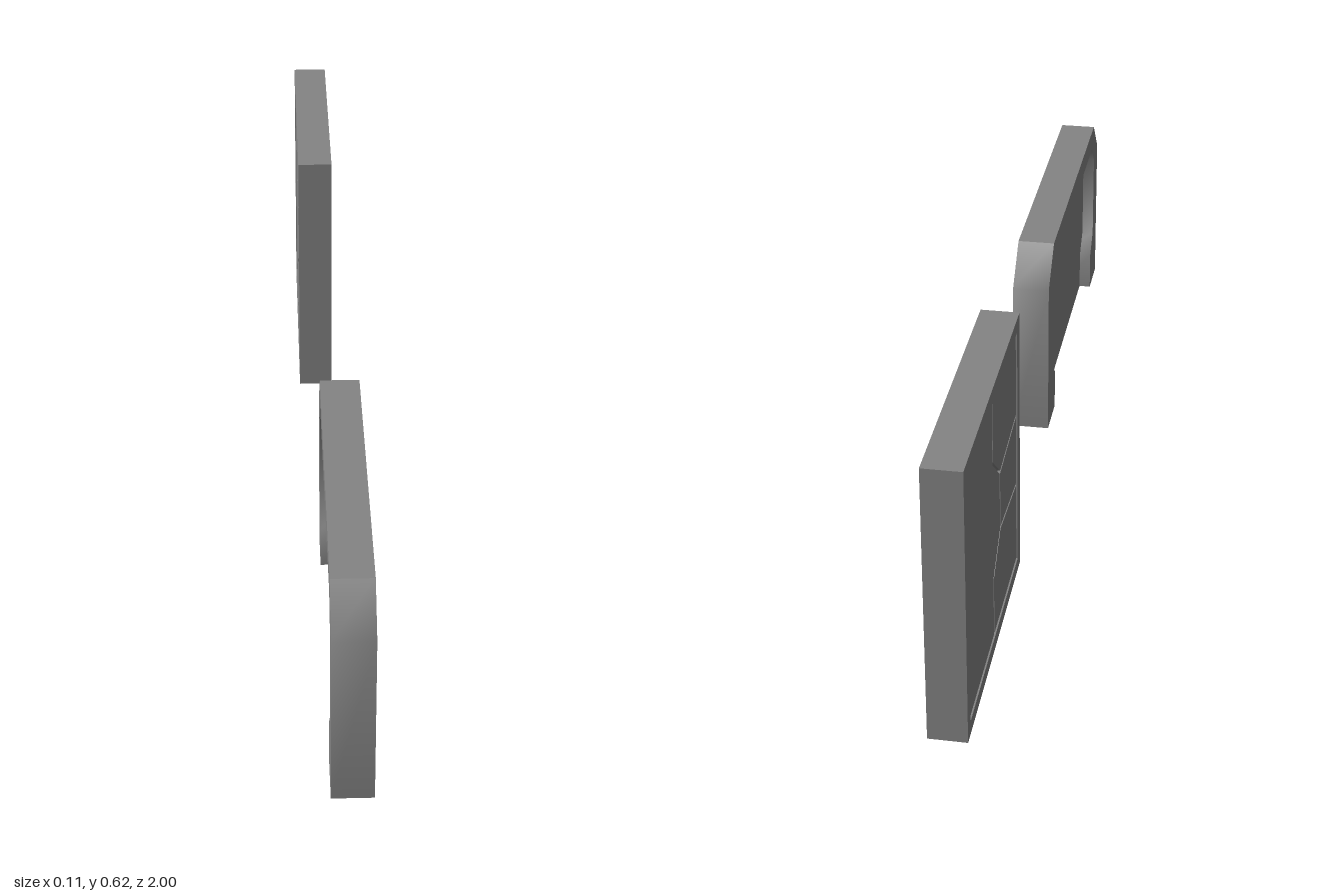
import * as THREE from 'three';
import { toCreasedNormals } from 'three/addons/utils/BufferGeometryUtils.js';

const material = new THREE.MeshStandardMaterial({ color: 0x848484 });

// Outlines are lists of [z, y]; solids span x0 to x1. Bends under 45 degrees are smooth.
function slab(name, outline, x0, x1, hole) {
  const flip = (pts) => pts.map(([z, y]) => new THREE.Vector2(-z, y));
  const shape = new THREE.Shape(flip(outline));
  if (hole) shape.holes.push(new THREE.Path(flip(hole)));
  const geometry = new THREE.ExtrudeGeometry(shape, { depth: x1 - x0, bevelEnabled: false });
  geometry.rotateY(Math.PI / 2).translate(x0, 0, 0);
  const mesh = new THREE.Mesh(toCreasedNormals(geometry, Math.PI / 4), material);
  mesh.name = name;
  return mesh;
}

const rect = (z0, z1, y0, y1) => [[z1, y0], [z0, y0], [z0, y1], [z1, y1]];

// Complete a half outline by mirroring it about z = c.
const mirrored = (half, c) => [...half, ...half.map(([z, y]) => [2 * c - z, y]).reverse()];

function createDoorway() {
  const group = new THREE.Group();
  group.name = 'doorway';
  const c = 0.584;
  const outer = mirrored([[1, 0], [1, 0.36], [0.925, 0.441]], c);
  const inner = mirrored([[0.895, 0], [0.895, 0.093], [0.938, 0.138], [0.938, 0.345], [0.895, 0.393]], c);
  // U-shaped frame: up the outside, back down the inside
  group.add(slab('doorFrame', [...outer, ...inner.slice().reverse()], -0.025, 0.056));
  // Leaf set back from both faces
  group.add(slab('doorLeaf', inner, 0.002, 0.029));
  return group;
}

function createWallPanel() {
  const group = new THREE.Group();
  group.name = 'wallPanel';
  const x0 = -0.057, x1 = 0.019;
  const z0 = -1, z1 = -0.424, y0 = 0.037, y1 = 0.618;
  const rim = 0.028, gap = 0.005, recess = 0.008, plate = 0.006;
  const opening = rect(z0 + rim, z1 - rim, y0 + rim, y1 - rim);
  group.add(slab('panelRim', rect(z0, z1, y0, y1), x0, x1, opening));

  // Bounds of the raised plates inside the rim
  const a = z0 + rim + gap, b = z1 - rim - gap, lo = y0 + rim + gap, hi = y1 - rim - gap;
  const mid = (y0 + y1) / 2;
  const flipY = (pts) => pts.map(([z, y]) => [z, 2 * mid - y]);

  const tongue = [[b, 0.404], [-0.638, 0.387], [-0.638, 2 * mid - 0.387], [b, 2 * mid - 0.404]];

  // Core, with a deeper bracket-shaped channel in its front layer
  const slit = [[-0.638, 0.392], [-0.71, 0.452], [-0.713, 0.449], [-0.643, 0.387]];
  const channel = [...slit, ...flipY(slit).reverse()];
  const floor = x1 - recess;
  group.add(slab('panelCore', opening, x0 + recess, floor - 0.008));
  group.add(slab('panelFrontLayer', opening, floor - 0.008, floor, channel));

  // Rear: one large plate and three smaller ones divided by narrow joints
  const rear = [x0 + recess - plate, x0 + recess];
  const joint = [[-0.718, hi], [-0.718, 0.454], [-0.644, 0.39]];
  const upper = [[-0.712, hi], [-0.712, 0.457], [-0.638, 0.393], [b, 0.41], [b, hi]];
  group.add(slab('rearMainPlate', [[a, lo], [a, hi], ...joint, ...flipY(joint).reverse()], ...rear));
  group.add(slab('rearUpperPlate', upper, ...rear));
  group.add(slab('rearLowerPlate', flipY(upper), ...rear));
  group.add(slab('rearTonguePlate', tongue, ...rear));

  // Front: one plate wrapped around the tongue and the channel
  const front = [floor, floor + plate];
  group.add(slab('frontMainPlate',
    [[a, lo], [a, hi], [b, hi], [b, 0.408], ...channel, [b, 2 * mid - 0.408], [b, lo]], ...front));
  group.add(slab('frontTonguePlate', tongue, ...front));
  return group;
}

export function createModel() {
  const model = new THREE.Group();
  model.name = 'doorAndWallPanel';
  model.add(createDoorway(), createWallPanel());
  return model;
}
